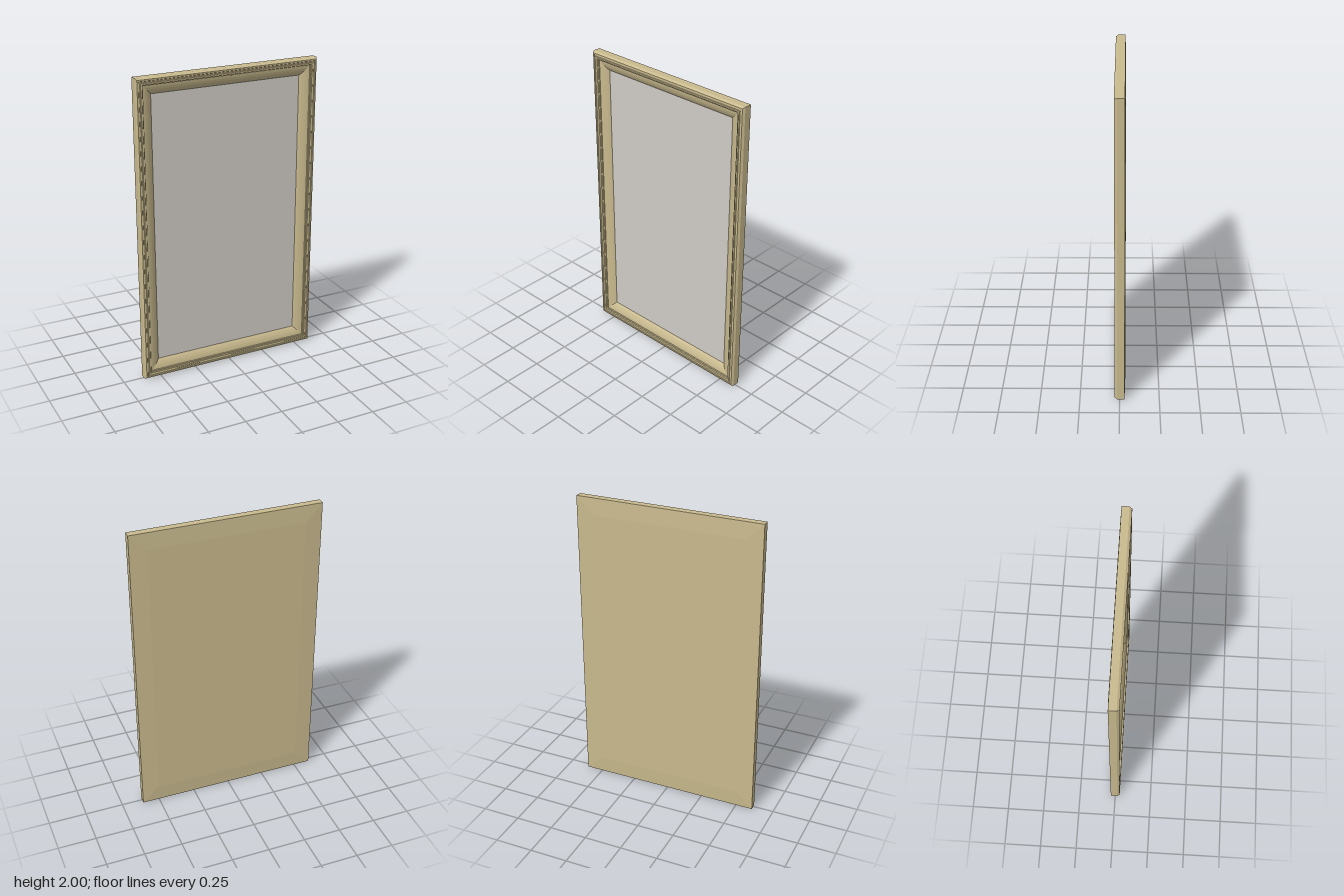
import * as THREE from 'three';

const HALF_W = 0.612, HALF_H = 1;

// Four corners of a rectangle inset from the outer edge, counter-clockwise from the front
function rect(inset, z) {
  const x = HALF_W - inset, y = HALF_H - inset;
  return [[-x, 1 - y, z], [x, 1 - y, z], [x, 1 + y, z], [-x, 1 + y, z]];
}

// Mitred moulding: sweep an [inset, z] profile round the rectangle, with flat facets
function mitred(profile, closeBack = false) {
  const pos = [];
  const quad = (a, b, c, d) => pos.push(...a, ...b, ...c, ...a, ...c, ...d);
  const loops = profile.map(([inset, z]) => rect(inset, z));
  for (let i = 0; i < loops.length - 1; i++) {
    const p = loops[i], q = loops[i + 1];
    for (let k = 0; k < 4; k++) {
      const n = (k + 1) % 4;
      quad(p[k], p[n], q[n], q[k]);
    }
  }
  if (closeBack) {
    const [a, b, c, d] = loops[0];
    quad(d, c, b, a);
  }
  const geo = new THREE.BufferGeometry();
  geo.setAttribute('position', new THREE.Float32BufferAttribute(pos, 3));
  geo.computeVertexNormals();
  return geo;
}

export function createModel() {
  const group = new THREE.Group();
  group.name = 'framedMirror';

  const frameMat = new THREE.MeshStandardMaterial({ color: 0xc9ba8e });
  frameMat.name = 'pale gold';
  const glassMat = new THREE.MeshStandardMaterial({ color: 0xd0ccc6 });
  glassMat.name = 'mirror grey';

  const add = (name, geo, mat) => {
    const mesh = new THREE.Mesh(geo, mat);
    mesh.name = name;
    group.add(mesh);
    return mesh;
  };

  // Shallow bevelled back board
  add('backBoard', mitred([[0.11, -0.036], [0, -0.031]], true), frameMat);

  // Outer rim with chamfered edge and stepped lip
  add('outerRim', mitred([
    [0, -0.031], [0, 0.016], [0.009, 0.031], [0.018, 0.031],
    [0.021, 0.026], [0.028, 0.026], [0.031, 0.03], [0.04, 0.03],
    [0.044, 0.024], [0.048, 0.024], [0.05, 0.017],
  ]), frameMat);

  // Inner moulding sloping down to the glass
  add('innerMoulding', mitred([
    [0.05, 0.017], [0.065, 0.014], [0.08, 0.009], [0.096, 0.001],
    [0.108, -0.008], [0.111, -0.014],
  ]), frameMat);

  // Mirror glass
  const glass = add('mirrorGlass', new THREE.PlaneGeometry(2 * (HALF_W - 0.11), 2 * (HALF_H - 0.11)), glassMat);
  glass.position.set(0, 1, -0.012);

  return group;
}
